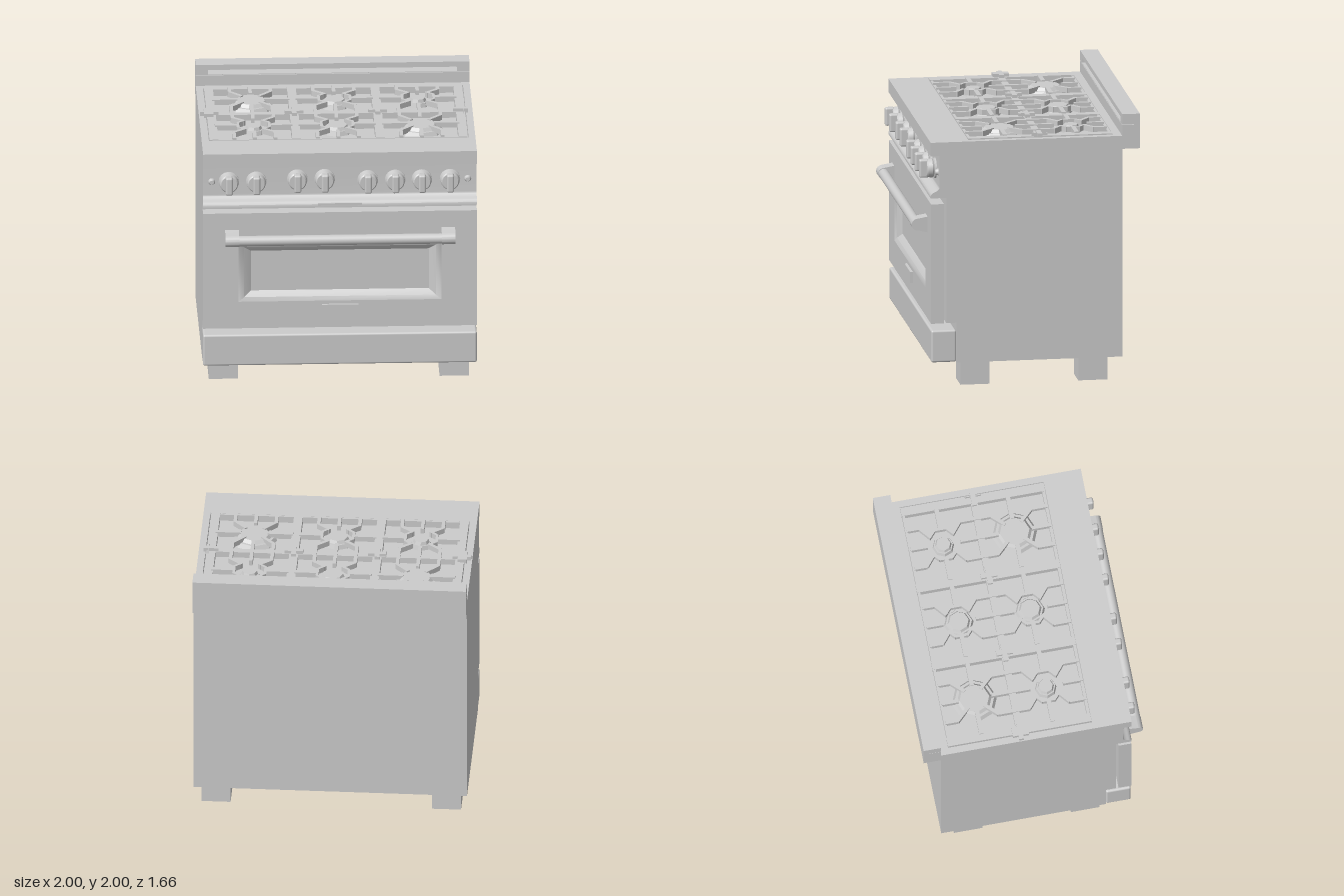
import * as THREE from 'three';
import { RoundedBoxGeometry } from 'three/addons/geometries/RoundedBoxGeometry.js';
import { toCreasedNormals } from 'three/addons/utils/BufferGeometryUtils.js';

const steel = new THREE.MeshStandardMaterial({ color: 0xcccccc });

export function createModel() {
  const root = new THREE.Group();

  const add = (name, geometry, parent = root) => {
    const mesh = new THREE.Mesh(geometry, steel);
    mesh.name = name;
    parent.add(mesh);
    return mesh;
  };
  // Box given by its limits on each axis; r rounds the edges
  const box = (name, [x0, x1], [y0, y1], [z0, z1], parent = root, r = 0) => {
    const size = [x1 - x0, y1 - y0, z1 - z0];
    const g = r ? new RoundedBoxGeometry(...size, 3, r) : new THREE.BoxGeometry(...size);
    const mesh = add(name, g, parent);
    mesh.position.set((x0 + x1) / 2, (y0 + y1) / 2, (z0 + z1) / 2);
    return mesh;
  };
  const rect = (x0, x1, y0, y1, Type = THREE.Shape) => new Type([
    new THREE.Vector2(x0, y0), new THREE.Vector2(x1, y0),
    new THREE.Vector2(x1, y1), new THREE.Vector2(x0, y1)]);
  // Extrudes a (z, y) profile sideways between x0 and x1
  const sideways = (shape, x0, x1) =>
    new THREE.ExtrudeGeometry(shape, { depth: x1 - x0, bevelEnabled: false, curveSegments: 10 })
      .rotateY(-Math.PI / 2).translate(x1, 0, 0);

  // Body, inner front frame and feet
  box('body', [-1, 1], [0.18, 1.79], [-0.7, 0.525]);
  box('ovenFrame', [-1, 1], [0.48, 1.43], [0.52, 0.6]);
  for (const s of [-1, 1]) for (const z of [0.38, -0.49])
    box('foot', [s * 0.843 - 0.107, s * 0.843 + 0.107], [0, 0.185], [z - 0.107, z + 0.107]);
  box('kickPanel', [-1, 1], [0.185, 0.425], [0.525, 0.71], root, 0.015);

  // Cooktop rim around the sunken tray
  const rim = rect(-1, 1, -0.525, 0.7);
  rim.holes.push(rect(-0.95, 0.95, -0.43, 0.64, THREE.Path));
  add('cooktopRim', new THREE.ExtrudeGeometry(rim, { depth: 0.05, bevelEnabled: false })
    .rotateX(-Math.PI / 2).translate(0, 1.788, 0));

  // Rear ledge and backguard with a long vent slot
  box('rearLedge', [-1, 1], [1.74, 1.838], [-0.83, -0.7]);
  box('backguardBase', [-1, 1], [1.838, 1.918], [-0.83, -0.7]);
  const vent = rect(-1, 1, 1.922, 2);
  vent.holes.push(rect(-0.91, 0.91, 1.926, 1.964, THREE.Path));
  add('backguardTop', new THREE.ExtrudeGeometry(vent, { depth: 0.09, bevelEnabled: false })
    .translate(0, 0, -0.79));
  box('backguardRear', [-1, 1], [1.918, 2], [-0.83, -0.79]);

  // Control panel with overhanging top and flared lower lip
  const panel = new THREE.Shape();
  panel.moveTo(0.525, 1.42).lineTo(0.715, 1.42).lineTo(0.715, 1.44);
  panel.quadraticCurveTo(0.71, 1.455, 0.685, 1.465);
  panel.quadraticCurveTo(0.65, 1.48, 0.65, 1.5);
  panel.lineTo(0.65, 1.737).lineTo(0.715, 1.737).lineTo(0.715, 1.838).lineTo(0.525, 1.838);
  add('controlPanel', toCreasedNormals(sideways(panel, -1, 1), 0.5));
  box('panelTrim', [-0.16, 0.16], [1.43, 1.448], [0.7, 0.722]);

  // Knobs: stepped base with an upright grip, plus indicator lamps
  const baseProfile = [[0, 0], [0.075, 0], [0.075, 0.012], [0.062, 0.018], [0.07, 0.03], [0.066, 0.062], [0.058, 0.07], [0, 0.07]]
    .map(([x, y]) => new THREE.Vector2(x, y));
  const knobBase = toCreasedNormals(new THREE.LatheGeometry(baseProfile, 32).rotateX(Math.PI / 2), 0.5);
  const knobGrip = new RoundedBoxGeometry(0.052, 0.136, 0.07, 3, 0.014);
  for (const x of [-0.81, -0.61, -0.31, -0.11, 0.205, 0.405, 0.6, 0.805]) {
    const knob = new THREE.Group();
    knob.name = 'knob';
    knob.position.set(x, x < 0 && x > -0.5 ? 1.615 : 1.602, 0.648);
    add('knobBase', knobBase, knob);
    add('knobGrip', knobGrip, knob).position.z = 0.088;
    root.add(knob);
  }
  for (const s of [-1, 1]) {
    const lamp = add('indicatorLamp', new THREE.CylinderGeometry(0.016, 0.027, 0.025, 20).rotateX(Math.PI / 2));
    lamp.position.set(s * 0.935, 1.602, 0.66);
  }

  // Oven door: slab with an opening, sloped surround and window
  const door = new THREE.Group();
  door.name = 'ovenDoor';
  root.add(door);
  const slab = rect(-1, 1, 0.478, 1.375);
  slab.holes.push(rect(-0.74, 0.74, 0.685, 1.135, THREE.Path));
  add('doorSlab', new THREE.ExtrudeGeometry(slab, { depth: 0.095, bevelEnabled: false })
    .translate(0, 0, 0.617), door);
  const rings = [[0.74, 0.685, 1.135, 0.712], [0.7, 0.715, 1.105, 0.698], [0.65, 0.755, 1.065, 0.665]]
    .map(([w, b, t, z]) => [[-w, b, z], [w, b, z], [w, t, z], [-w, t, z]]);
  const corners = [];
  for (let k = 0; k < 2; k++) for (let i = 0; i < 4; i++) {
    const j = (i + 1) % 4, [o, n] = [rings[k], rings[k + 1]];
    corners.push(...o[i], ...o[j], ...n[j], ...o[i], ...n[j], ...n[i]);
  }
  const surround = new THREE.BufferGeometry();
  surround.setAttribute('position', new THREE.Float32BufferAttribute(corners, 3));
  add('windowSurround', toCreasedNormals(surround, 0.6), door);
  box('window', [-0.74, 0.74], [0.685, 1.135], [0.617, 0.665], door);
  box('doorPlate', [-0.133, 0.133], [0.575, 0.66], [0.7, 0.732], door);

  // Door handle: round bar between tapered brackets
  const bar = add('handleBar', new THREE.CylinderGeometry(0.038, 0.038, 1.6, 28).rotateZ(Math.PI / 2), door);
  bar.position.set(0, 1.188, 0.79);
  const bracket = new THREE.Shape();
  bracket.moveTo(0.705, 1.125).lineTo(0.785, 1.145);
  bracket.absarc(0.787, 1.188, 0.044, -Math.PI / 2, Math.PI / 2, false);
  bracket.lineTo(0.705, 1.247);
  for (const s of [-1, 1])
    add('handleBracket', toCreasedNormals(sideways(bracket, s * 0.79 - 0.05, s * 0.79 + 0.05), 0.6), door);

  // Burners: low eight-sided spreader ring with a faceted cap
  const radii = [[0.13, 0.085, 0.062], [0.062, 0.085, 0.13]];
  const rows = [-0.38, 0.15], columns = [-0.61, 0, 0.61];
  rows.forEach((z, r) => columns.forEach((x, c) => {
    const R = radii[r][c], burner = new THREE.Group();
    burner.name = 'burner';
    burner.position.set(x, 1.788, z);
    const ring = add('burnerRing', toCreasedNormals(new THREE.CylinderGeometry(R * 1.15, R * 1.3, 0.035, 8), 0.3), burner);
    ring.position.y = 0.017;
    const cap = add('burnerCap', toCreasedNormals(new THREE.CylinderGeometry(R * 0.85, R, 0.025, 8), 0.3), burner);
    cap.position.y = 0.046;
    root.add(burner);
  }));

  // Grates: straight cast bars laid between two (x, z) points
  const grates = new THREE.Group();
  grates.name = 'grates';
  root.add(grates);
  const lay = (a, b, w = 0.026, y0 = 1.815, y1 = 1.855) => {
    const dx = b[0] - a[0], dz = b[1] - a[1];
    const m = add('grateBar', new THREE.BoxGeometry(Math.hypot(dx, dz) + 0.006, y1 - y0, w), grates);
    m.position.set((a[0] + b[0]) / 2, (y0 + y1) / 2, (a[1] + b[1]) / 2);
    m.rotation.y = -Math.atan2(dz, dx);
  };
  // Wide rails between sections with raised cross joints
  for (const x of [-0.91, -0.305, 0.305, 0.91]) {
    lay([x, -0.635], [x, 0.425], 0.065, 1.79, 1.845);
    const out = Math.abs(x) > 0.5 ? Math.sign(x) * 0.035 : 0;
    box('crossJoint', [x - 0.068 + out * 0.4, x + 0.068 - Math.abs(out) * 0.4], [1.8, 1.868], [-0.118, -0.082], grates);
    box('crossJoint', [x - 0.018 + out, x + 0.018 + out * 0.1], [1.8, 1.868], [-0.16, -0.04], grates);
  }
  columns.forEach((cx, c) => {
    for (const z of [-0.625, 0.415]) lay([cx - 0.28, z], [cx + 0.28, z], 0.02, 1.79, 1.84);
    lay([cx - 0.28, -0.1], [cx + 0.28, -0.1], 0.05, 1.8, 1.845);
    lay([cx, -0.25], [cx, 0.03]);
    lay([cx, -0.62], [cx, -0.5]);
    lay([cx, 0.28], [cx, 0.42]);
    for (const s of [-1, 1]) {
      const px = (d) => cx + s * d;
      lay([px(0.15), -0.62], [px(0.15), -0.53]);
      lay([px(0.15), -0.23], [px(0.15), 0.0]);
      lay([px(0.15), 0.3], [px(0.15), 0.42]);
      rows.forEach((z, r) => {
        const big = radii[r][c] > 0.1, q = big ? 0.1 : 0.125;
        lay([px(q), z], [px(0.28), z], 0.032);
        for (const t of [-1, 1]) {
          // Arms lean in toward the burner; small burners also get a ring
          lay([px(0.15), z + t * 0.15], [px(0.065), z + t * (big ? 0.06 : 0.08)]);
          if (!big) lay([px(0.065), z + t * 0.09], [px(0.115), z + t * 0.045], 0.02);
        }
        if (!big) lay([px(0.115), z - 0.045], [px(0.115), z + 0.045], 0.02);
      });
    }
  });
  return root;
}
